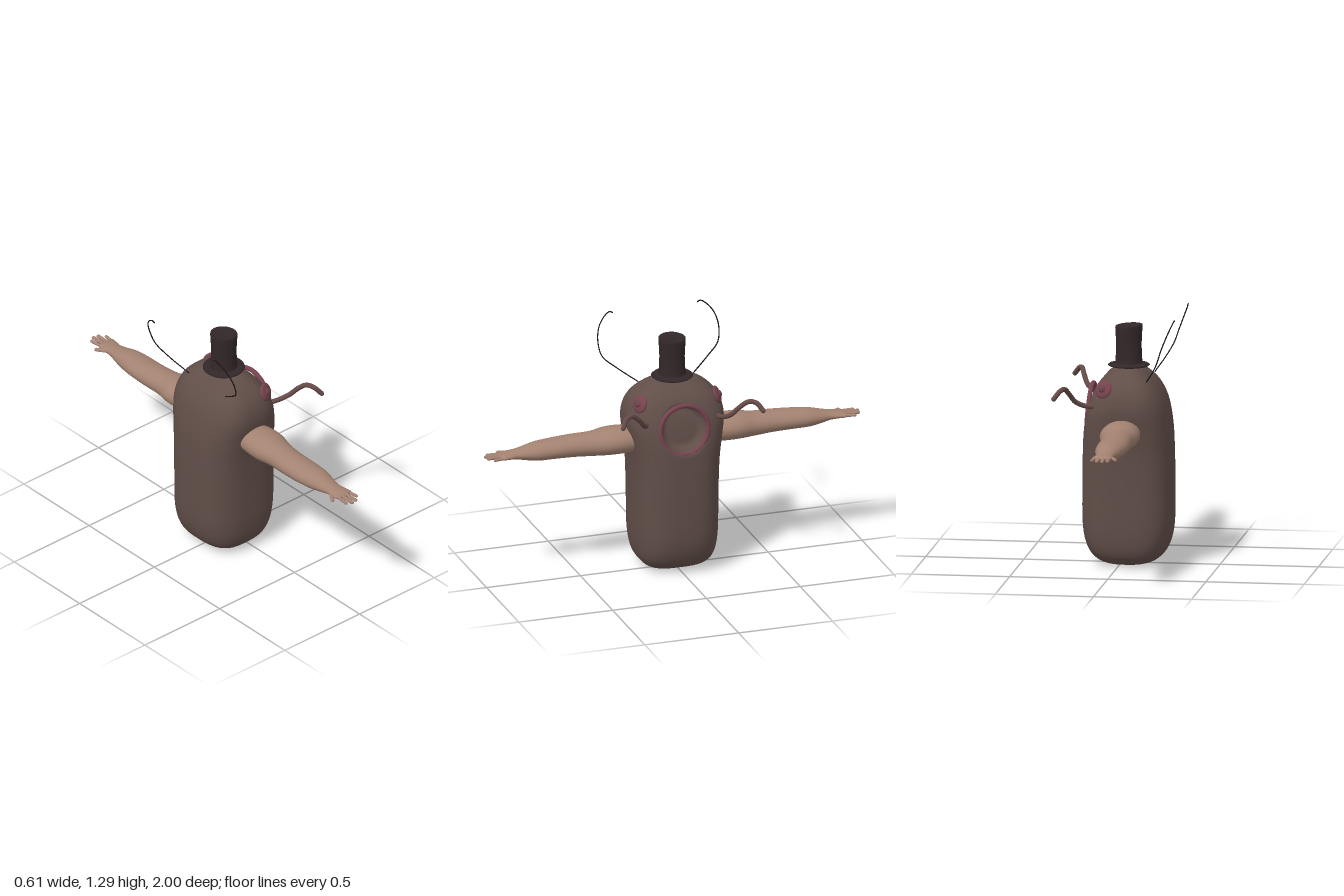
import * as THREE from 'three';

const material = (name, color) => {
  const m = new THREE.MeshStandardMaterial({ color });
  m.name = name;
  return m;
};

// Signed power, squares off a circle into a superellipse
const spow = (v, e) => Math.sign(v) * Math.pow(Math.abs(v), e);

// Smooth loft through rows of [along, centreA, halfA, centreB, halfB]
function loft(rows, steps, sides, power, place) {
  const spline = new THREE.CubicInterpolant(rows.map((_, i) => i), rows.flat(), 5);
  const pos = [], index = [];
  for (let i = 0; i <= steps; i++) {
    const [s, ca, ha, cb, hb] = spline.evaluate((i / steps) * (rows.length - 1));
    for (let j = 0; j < sides; j++) {
      const t = (j / sides) * Math.PI * 2;
      pos.push(...place(s, ca + ha * spow(Math.cos(t), 2 / power), cb + hb * spow(Math.sin(t), 2 / power)));
      if (i === steps) continue;
      const p = i * sides + j, q = i * sides + (j + 1) % sides;
      index.push(p, q, p + sides, q, q + sides, p + sides);
    }
  }
  const g = new THREE.BufferGeometry();
  g.setAttribute('position', new THREE.Float32BufferAttribute(pos, 3));
  g.setIndex(index);
  g.computeVertexNormals();
  return g;
}

// Copy of a geometry reflected in z, with the faces turned back outward
function mirrorZ(geometry) {
  const g = geometry.clone().applyMatrix4(new THREE.Matrix4().makeScale(1, 1, -1));
  const a = g.index.array;
  for (let i = 0; i < a.length; i += 3) [a[i], a[i + 1]] = [a[i + 1], a[i]];
  g.computeVertexNormals();
  return g;
}

const vectors = (list) => list.map((p) => new THREE.Vector3(...p));

// Round-ended tube along a smooth path
function cord(points, radius, segments, sides) {
  return new THREE.TubeGeometry(new THREE.CatmullRomCurve3(vectors(points)), segments, radius, sides);
}

// Rounded finger between two points
function finger(from, to, radius) {
  const [a, b] = vectors([from, to]);
  const dir = b.clone().sub(a);
  const g = new THREE.CapsuleGeometry(radius, dir.length() - radius, 5, 10);
  g.scale(1, 1, 0.85);
  g.applyQuaternion(new THREE.Quaternion().setFromUnitVectors(new THREE.Vector3(0, 1, 0), dir.normalize()));
  const mid = a.add(b).multiplyScalar(0.5);
  return g.translate(mid.x, mid.y, mid.z);
}

export function createModel() {
  const model = new THREE.Group();
  model.name = 'hattedCreature';
  const brown = material('bodyBrown', 0x614e48);
  const skin = material('armSkin', 0xa38271);
  const pink = material('duskyPink', 0x77434f);
  const pupilPink = material('pupilBrown', 0x6a4347);
  const feeler = material('feelerBrown', 0x664b48);
  const felt = material('hatFelt', 0x322728);
  const black = material('hairBlack', 0x1c1719);

  const add = (name, geometry, mat) => {
    const mesh = new THREE.Mesh(geometry, mat);
    mesh.name = name;
    model.add(mesh);
    return mesh;
  };
  const addPair = (name, geometry, mat) => {
    add(name + 'Left', geometry, mat);
    add(name + 'Right', mirrorZ(geometry), mat);
  };

  // Body: tall rounded block with a shallow mouth pressed into the +x side
  const bodyRows = [
    [0.005, -0.035, 0.001, 0, 0.001], [0.01, -0.035, 0.08, 0, 0.11], [0.033, -0.035, 0.15, 0, 0.165],
    [0.09, -0.035, 0.2, 0, 0.2], [0.2, -0.035, 0.227, 0, 0.215], [0.4, -0.035, 0.23, 0, 0.218],
    [0.58, -0.035, 0.227, 0, 0.225], [0.7, -0.035, 0.22, 0, 0.24], [0.8, -0.036, 0.203, 0, 0.254],
    [0.87, -0.037, 0.18, 0, 0.246], [0.93, -0.036, 0.147, 0, 0.217], [0.98, -0.035, 0.1, 0, 0.162],
    [1.01, -0.035, 0.055, 0, 0.1], [1.02, -0.035, 0.001, 0, 0.001],
  ];
  const mouthY = 0.79, mouthR = 0.127;
  add('body', loft(bodyRows, 120, 120, 2.9, (s, a, b) => {
    const d = Math.hypot(s - mouthY, b) / mouthR;
    const dent = a > 0 && d < 1 ? 0.05 * Math.min(1, (1 - d) * 4) : 0;
    return [a - dent, s, -b];
  }), brown);

  // Mouth rim: a ring that follows the curve of the body
  const rim = [];
  for (let i = 0; i < 32; i++) {
    const t = (i / 32) * Math.PI * 2;
    const y = Math.cos(t) * mouthR, z = Math.sin(t) * mouthR;
    rim.push([0.168 - 0.1 * y - 0.45 * y * y - 0.7 * z * z, mouthY + y, z]);
  }
  add('mouthRim', new THREE.TubeGeometry(new THREE.CatmullRomCurve3(vectors(rim), true), 96, 0.012, 10, true), pink);

  // Arms reach straight out to both sides
  const armRows = [
    [0.17, -0.035, 0.08, 0.705, 0.055], [0.25, -0.034, 0.095, 0.705, 0.068], [0.34, -0.035, 0.099, 0.705, 0.069],
    [0.43, -0.036, 0.08, 0.7, 0.061], [0.53, -0.042, 0.077, 0.7, 0.056], [0.63, -0.04, 0.077, 0.699, 0.051],
    [0.72, -0.036, 0.068, 0.697, 0.047], [0.79, -0.035, 0.052, 0.695, 0.034], [0.835, -0.034, 0.044, 0.695, 0.024],
    [0.88, -0.032, 0.049, 0.695, 0.018], [0.915, -0.027, 0.046, 0.695, 0.013], [0.93, -0.027, 0.001, 0.695, 0.001],
  ];
  addPair('arm', loft(armRows, 66, 28, 2, (s, a, b) => [a, b, s]), skin);

  // Four fingers and a thumb on each hand
  const fingers = [
    [[-0.062, 0.695, 0.9], [-0.068, 0.694, 0.978], 0.009], [[-0.04, 0.696, 0.9], [-0.042, 0.695, 0.995], 0.0095],
    [[-0.017, 0.696, 0.9], [-0.014, 0.695, 0.99], 0.0095], [[0.006, 0.695, 0.89], [0.015, 0.694, 0.962], 0.0085],
    [[-0.07, 0.694, 0.86], [-0.1, 0.69, 0.91], 0.01],
  ];
  fingers.forEach((f, i) => addPair(i === 4 ? 'thumb' : 'finger' + (i + 1), finger(...f), skin));

  // Eyes: flat discs with a raised pupil, facing forward, up and outward
  const look = new THREE.Vector3(0.38, 0.36, 0.85).normalize();
  const turn = new THREE.Quaternion().setFromUnitVectors(new THREE.Vector3(0, 0, 1), look);
  const disc = (radius, depth, lift) => new THREE.SphereGeometry(radius, 28, 16).scale(1, 1, depth / radius)
    .applyQuaternion(turn).translate(0.065 + look.x * lift, 0.922 + look.y * lift, 0.205 + look.z * lift);
  addPair('eye', disc(0.047, 0.016, 0), pink);
  addPair('pupil', disc(0.019, 0.012, 0.013), pupilPink);

  // Thick curling feelers beside the mouth
  const feelerPath = [[0.12, 0.83, 0.19], [0.165, 0.838, 0.207], [0.205, 0.862, 0.233], [0.23, 0.905, 0.268],
    [0.248, 0.937, 0.31], [0.266, 0.932, 0.347], [0.294, 0.897, 0.373]];
  addPair('feeler', cord(feelerPath, 0.0125, 40, 10), feeler);
  const tip = feelerPath[feelerPath.length - 1];
  addPair('feelerTip', new THREE.SphereGeometry(0.0125, 12, 8).translate(...tip), feeler);

  // Thin hairs rising from the back of the head
  addPair('hair', cord([[-0.145, 0.955, 0.14], [-0.195, 1.03, 0.245], [-0.223, 1.085, 0.307], [-0.245, 1.15, 0.322],
    [-0.272, 1.22, 0.31], [-0.293, 1.27, 0.275], [-0.302, 1.291, 0.24], [-0.3, 1.283, 0.225]], 0.0032, 48, 6), black);

  // Top hat: brim and slightly pinched crown with a tilted top
  const hatProfile = [[0, 1.008], [0.1, 1.012], [0.106, 1.017], [0.1, 1.022], [0.072, 1.025], [0.068, 1.032],
    [0.066, 1.07], [0.064, 1.12], [0.067, 1.18], [0.069, 1.21], [0.068, 1.219], [0.064, 1.221], [0.05, 1.217], [0, 1.212]];
  const hat = new THREE.LatheGeometry(hatProfile.map((p) => new THREE.Vector2(...p)), 40);
  const hp = hat.attributes.position;
  for (let i = 0; i < hp.count; i++) {
    if (hp.getY(i) > 1.15) hp.setY(i, hp.getY(i) - hp.getX(i) * 0.07);
  }
  add('topHat', hat.translate(-0.035, 0, 0), felt);

  return model;
}
